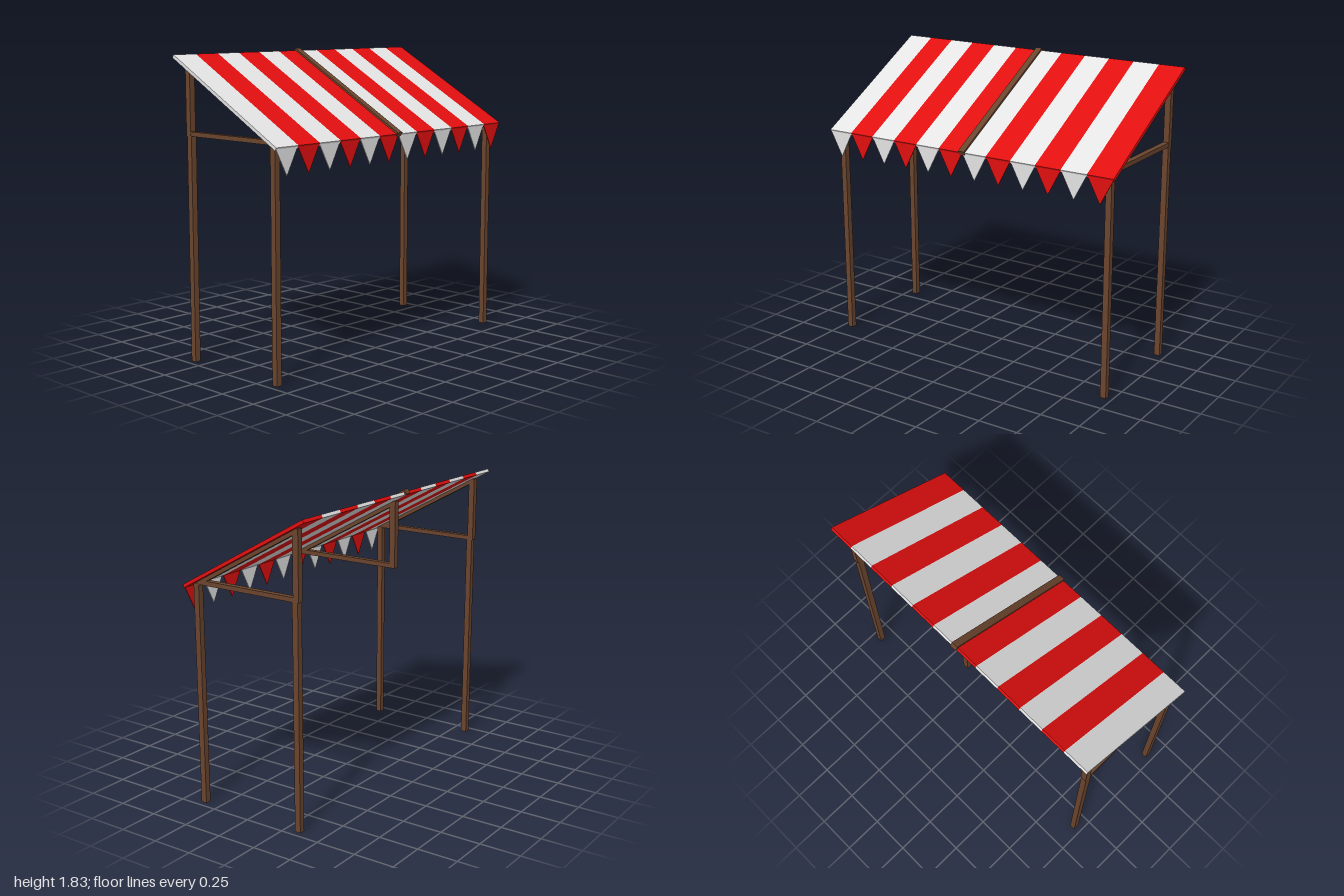
import * as THREE from 'three';

export function createModel() {
  const model = new THREE.Group();
  model.name = 'marketAwning';

  const mat = (name, color) => {
    const m = new THREE.MeshStandardMaterial({ color });
    m.name = name;
    return m;
  };
  const wood = mat('brown wood', 0x6b452e);
  const white = mat('white cloth', 0xe4e4e4);
  const red = mat('red cloth', 0xe20f0f);

  const box = (name, material, size, pos, parent = model, tilt = 0) => {
    const mesh = new THREE.Mesh(new THREE.BoxGeometry(...size), material);
    mesh.name = name;
    mesh.position.set(...pos);
    mesh.rotation.z = tilt;
    parent.add(mesh);
    return mesh;
  };

  const slope = -THREE.MathUtils.degToRad(29);
  const frameZ = 0.945;

  // Four corner posts
  for (const z of [-frameZ, frameZ]) {
    box('rearPost', wood, [0.037, 1.35, 0.037], [-0.337, 0.675, z]);
    box('frontPost', wood, [0.037, 1.35, 0.037], [0.362, 0.675, z]);
  }

  // Three triangular roof frames, the middle one without posts
  for (const z of [-frameZ, 0, frameZ]) {
    const truss = new THREE.Group();
    truss.name = 'roofTruss';
    truss.position.z = z;
    model.add(truss);
    box('upright', wood, [0.038, 0.403, 0.037], [-0.343, 1.547, 0], truss);
    box('crossbar', wood, [0.71, 0.027, 0.036], [-0.005, 1.358, 0], truss);
    box('rafter', wood, [0.81, 0.028, 0.036], [0, 1.546, 0], truss, slope);
  }

  // Striped cloth and one pennant hanging from each stripe
  const count = 12;
  const width = 2 / count;
  const shape = new THREE.Shape([
    new THREE.Vector2(-width / 2, 0),
    new THREE.Vector2(0, -0.157),
    new THREE.Vector2(width / 2, 0),
  ]);
  const pennantGeometry = new THREE.ExtrudeGeometry(shape, { depth: 0.006, bevelEnabled: false });
  for (let i = 0; i < count; i++) {
    const z = 1 - width * (i + 0.5);
    const cloth = i % 2 ? red : white;
    box('awningStripe', cloth, [0.972, 0.02, width], [0, 1.567, z], model, slope);
    const pennant = new THREE.Mesh(pennantGeometry, cloth);
    pennant.name = 'pennant';
    pennant.position.set(0.419, 1.337, z);
    pennant.rotation.y = Math.PI / 2;
    model.add(pennant);
  }

  // Batten across the middle of the cloth
  box('batten', wood, [0.985, 0.03, 0.042], [0, 1.574, 0], model, slope);

  return model;
}
